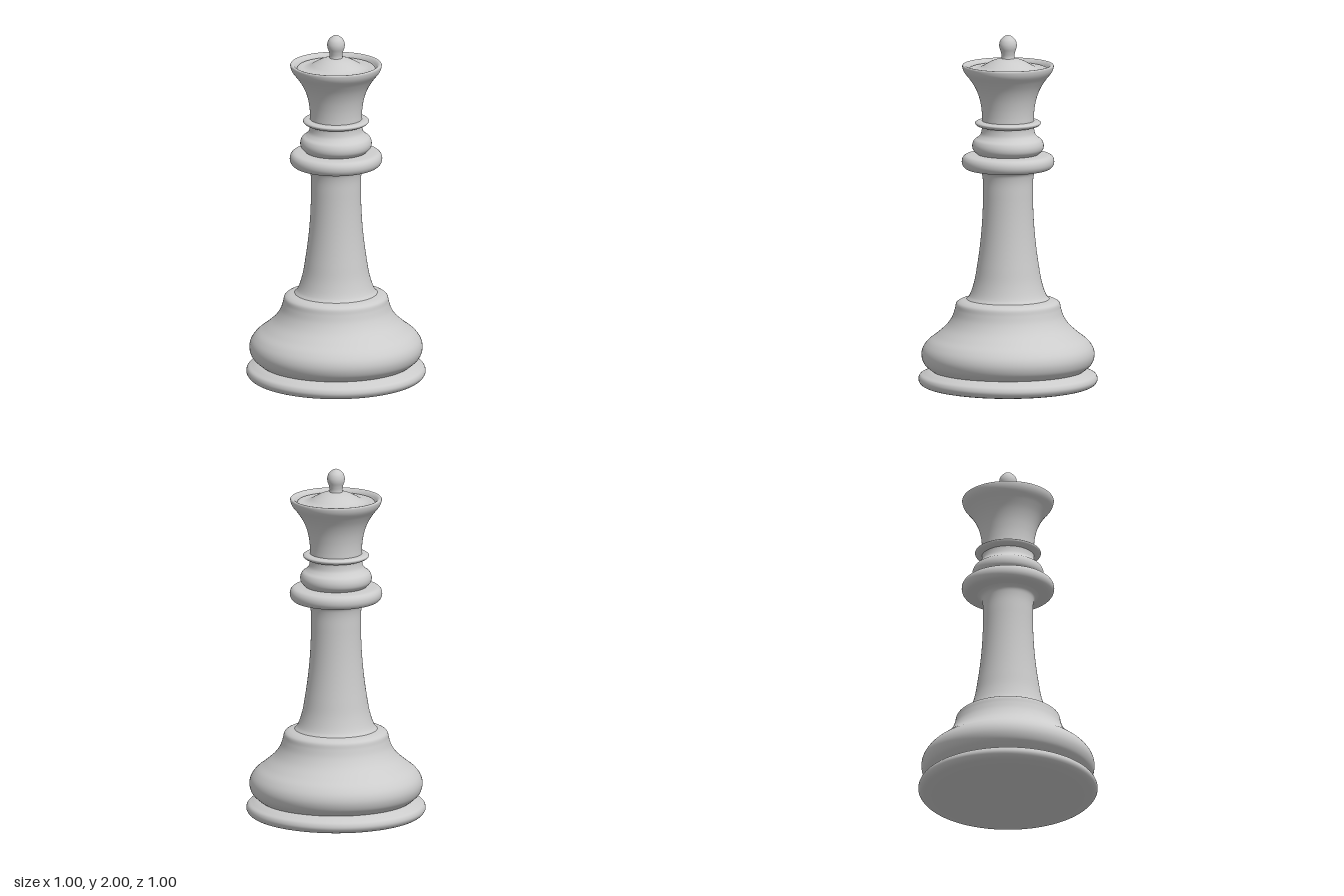
import * as THREE from 'three';

const material = new THREE.MeshStandardMaterial({ color: 0xcccccc, side: THREE.DoubleSide });

// Turns a smooth curve through [radius, height] points, listed from bottom to top
function turned(name, profile, steps = 6) {
  const curve = new THREE.CatmullRomCurve3(
    profile.map(([r, y]) => new THREE.Vector3(r, y, 0)), false, 'centripetal');
  const points = curve.getPoints((profile.length - 1) * steps)
    .map(p => new THREE.Vector2(Math.max(p.x, 0), Math.max(p.y, 0)));
  const mesh = new THREE.Mesh(new THREE.LatheGeometry(points, 96), material);
  mesh.name = name;
  return mesh;
}

export function createModel() {
  const model = new THREE.Group();
  model.name = 'chessQueen';

  model.add(
    // Flat underside and rounded foot
    turned('foot', [
      [0, 0], [0.2, 0], [0.38, 0.002], [0.44, 0.008], [0.485, 0.022], [0.502, 0.047],
      [0.495, 0.072], [0.47, 0.087], [0.44, 0.1], [0.42, 0.105]]),
    // Wide bulging base, ending in a small shoulder
    turned('base', [
      [0.425, 0.1], [0.445, 0.115], [0.472, 0.143], [0.485, 0.185], [0.478, 0.225],
      [0.45, 0.265], [0.4, 0.305], [0.345, 0.355], [0.312, 0.405], [0.297, 0.45],
      [0.289, 0.482], [0.272, 0.495], [0.24, 0.504], [0.2, 0.51]]),
    // Tapering column
    turned('stem', [
      [0.235, 0.502], [0.216, 0.525], [0.19, 0.6], [0.172, 0.7], [0.158, 0.8],
      [0.148, 0.9], [0.142, 1.0], [0.14, 1.1], [0.142, 1.19], [0.152, 1.225], [0.18, 1.245]]),
    // Collar stack
    turned('collar', [
      [0.14, 1.24], [0.2, 1.24], [0.24, 1.247], [0.257, 1.27], [0.257, 1.298],
      [0.242, 1.318], [0.2, 1.326], [0.14, 1.328]]),
    turned('neckRing', [
      [0.165, 1.322], [0.182, 1.336], [0.197, 1.355], [0.2, 1.38], [0.19, 1.405],
      [0.168, 1.422], [0.153, 1.44], [0.147, 1.465], [0.147, 1.49]]),
    turned('thinRing', [
      [0.14, 1.48], [0.165, 1.485], [0.182, 1.496], [0.184, 1.505], [0.172, 1.513], [0.14, 1.516]]),
    // Flared crown, rounded rim and the groove inside it
    turned('crown', [
      [0.146, 1.505], [0.146, 1.55], [0.151, 1.6], [0.164, 1.655], [0.185, 1.705],
      [0.215, 1.752], [0.245, 1.79], [0.254, 1.81], [0.256, 1.828], [0.251, 1.833],
      [0.24, 1.831], [0.23, 1.822], [0.22, 1.808], [0.212, 1.805]]),
    // Shallow dome filling the crown
    turned('crownDome', [
      [0.222, 1.8], [0.215, 1.812], [0.2, 1.813], [0.175, 1.813], [0.15, 1.82],
      [0.12, 1.837], [0.08, 1.857], [0.04, 1.868], [0, 1.871]]),
    // Teardrop finial
    turned('finial', [
      [0.038, 1.86], [0.035, 1.88], [0.04, 1.905], [0.048, 1.93], [0.049, 1.95],
      [0.042, 1.972], [0.027, 1.988], [0.011, 1.998], [0, 2]]),
  );
  return model;
}
